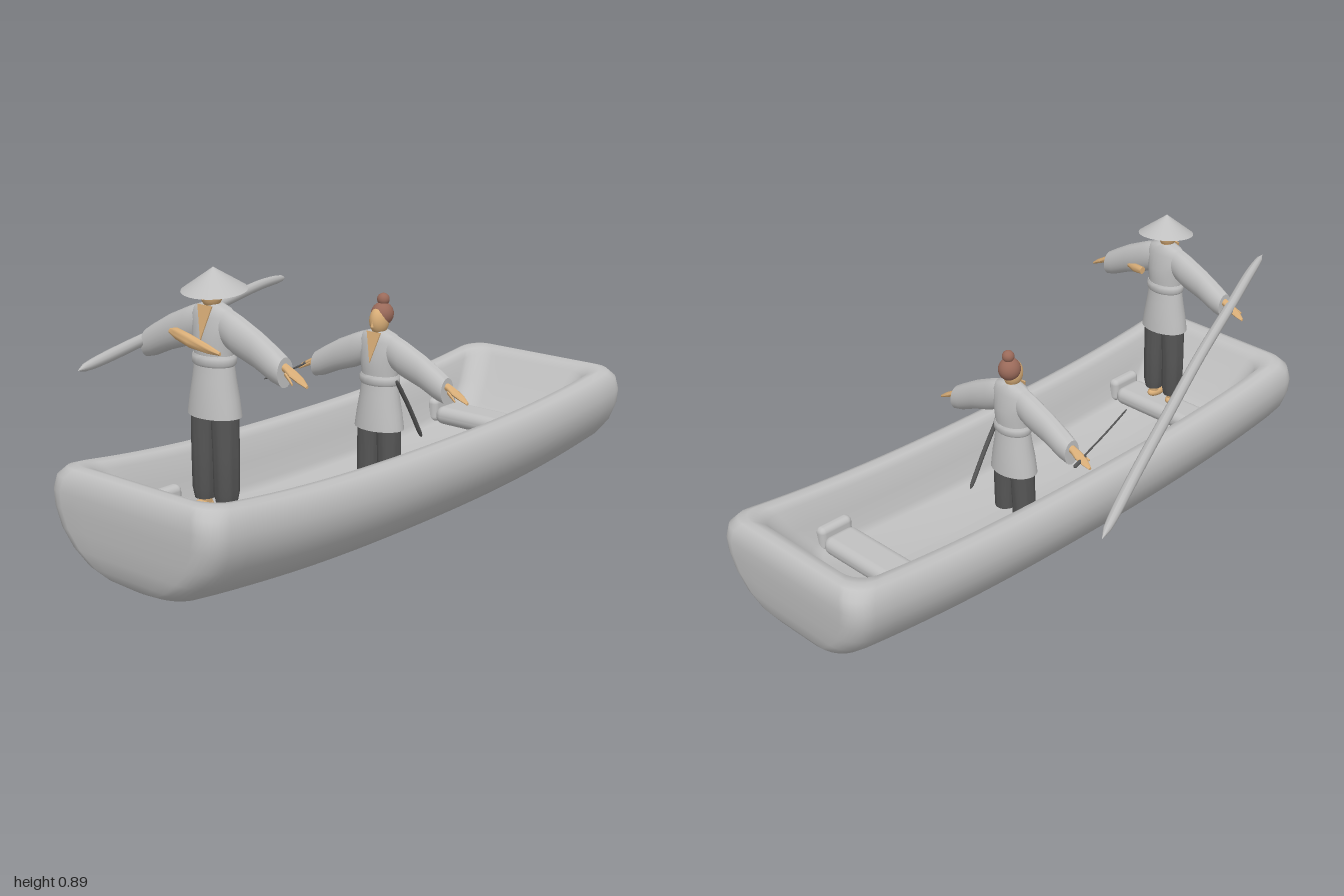
import * as THREE from 'three';
import { toCreasedNormals } from 'three/addons/utils/BufferGeometryUtils.js';
import { RoundedBoxGeometry } from 'three/addons/geometries/RoundedBoxGeometry.js';

const mat = (name, color) => new THREE.MeshStandardMaterial({ name, color });

// Skin a stack of closed rings that all have the same number of points
function skin(rings) {
  const n = rings[0].length, index = [];
  for (let i = 0; i < rings.length - 1; i++) {
    for (let j = 0; j < n; j++) {
      const a = i * n + j, c = i * n + (j + 1) % n;
      index.push(a, a + n, c, a + n, c + n, c);
    }
  }
  const g = new THREE.BufferGeometry();
  g.setAttribute('position', new THREE.Float32BufferAttribute(rings.flat(2), 3));
  g.setIndex(index);
  g.computeVertexNormals();
  return g;
}

// Capped loft of ellipses; each row is [t, radiusA, radiusB, centreA, centreB]
// axis 'y': A = x, B = z; axis 'x': A = z, B = y
function loft(rows, axis = 'y', sides = 24) {
  const first = rows[0], last = rows[rows.length - 1];
  const shut = ([t, , , a = 0, b = 0]) => [t, 0, 0, a, b];
  const rings = [shut(first), ...rows, shut(last)].map(([t, ra, rb, ca = 0, cb = 0]) =>
    Array.from({ length: sides }, (_, j) => {
      const q = (j / sides) * Math.PI * 2;
      const A = ca + ra * Math.cos(q), B = cb + rb * Math.sin(q);
      return axis === 'y' ? [A, t, B] : [t, B, A];
    }));
  return toCreasedNormals(skin(rings), 0.9);
}

// Rounded rectangle ring of the boat, raised towards bow and stern
function boatRing([hx, hz, y]) {
  const r = Math.min(0.07, hx), half = [];
  for (let i = 0; i < 24; i++) half.push([hx, (hz - r) * (i / 12 - 1)]);
  const corner = (cx, cz, start) => {
    for (let i = 0; i < 6; i++) {
      const q = start + (i / 6) * Math.PI / 2;
      half.push([cx + r * Math.cos(q), cz + r * Math.sin(q)]);
    }
  };
  corner(hx - r, hz - r, 0);
  for (let i = 0; i < 6; i++) half.push([(hx - r) * (1 - i / 3), hz]);
  corner(r - hx, hz - r, Math.PI / 2);
  const all = [...half, ...half.map(([x, z]) => [-x, -z])];
  return all.map(([x, z]) => [x, y + 0.06 * Math.abs(z / 0.97) ** 2.4, z]);
}

// Rod with tapered tips along a smooth path
function rod(points, radius) {
  const curve = new THREE.CatmullRomCurve3(points.map(p => new THREE.Vector3(...p)));
  const steps = 40, sides = 10;
  const g = new THREE.TubeGeometry(curve, steps, radius, sides);
  const p = g.attributes.position, v = new THREE.Vector3();
  for (let i = 0; i <= steps; i++) {
    const e = Math.abs((2 * i) / steps - 1), k = Math.sqrt(Math.max(0, 1 - e ** 10));
    const c = curve.getPointAt(i / steps);
    for (let j = 0; j <= sides; j++) {
      const id = i * (sides + 1) + j;
      v.fromBufferAttribute(p, id).sub(c).multiplyScalar(k).add(c);
      p.setXYZ(id, v.x, v.y, v.z);
    }
  }
  g.computeVertexNormals();
  return g;
}

export function createModel() {
  const model = new THREE.Group();
  model.name = 'boatWithTwoFigures';
  const grey = mat('light grey', 0xc0c0c0);
  const dark = mat('dark grey cloth', 0x565656);
  const tan = mat('skin', 0xd9ae78);
  const brown = mat('brown hair', 0x9a6a5a);

  const add = (parent, name, geometry, material, x = 0, y = 0, z = 0) => {
    const m = new THREE.Mesh(geometry, material);
    m.name = name;
    m.position.set(x, y, z);
    parent.add(m);
    return m;
  };
  const ball = (rx, ry, rz) => new THREE.SphereGeometry(1, 24, 16).scale(rx, ry, rz);

  // Boat: rings run from the keel up the outside, over the rim and down to the floor
  const boat = new THREE.Group();
  boat.name = 'boat';
  boat.position.set(0.232, 0, -0.0275);
  model.add(boat);
  add(boat, 'hull', skin([
    [0, 0.9, 0.005], [0.08, 0.92, 0.007], [0.15, 0.94, 0.02], [0.2, 0.957, 0.045],
    [0.25, 0.966, 0.085], [0.29, 0.97, 0.135], [0.312, 0.972, 0.19], [0.316, 0.972, 0.235],
    [0.308, 0.965, 0.275], [0.29, 0.945, 0.3], [0.27, 0.925, 0.308], [0.245, 0.9, 0.304],
    [0.23, 0.885, 0.285], [0.21, 0.83, 0.22], [0.195, 0.77, 0.155], [0.18, 0.74, 0.135],
    [0, 0.6, 0.13],
  ].map(boatRing)), grey);

  // Benches with end brackets
  for (const s of [-1, 1]) {
    add(boat, 'bench', new RoundedBoxGeometry(0.37, 0.06, 0.12, 4, 0.028), grey, 0, 0.18, s * 0.645);
    for (const e of [-1, 1]) {
      add(boat, 'benchBracket', new RoundedBoxGeometry(0.04, 0.08, 0.12, 3, 0.018), grey, e * 0.195, 0.195, s * 0.645);
    }
  }

  // Robed figure, feet at its origin
  const figure = (name, x, y, z) => {
    const f = new THREE.Group();
    f.name = name;
    f.position.set(x, y, z);
    model.add(f);
    for (const s of [-1, 1]) {
      const side = new THREE.Group();
      side.name = s > 0 ? 'leftLimbs' : 'rightLimbs';
      side.scale.x = s;
      f.add(side);
      add(side, 'foot', ball(0.021, 0.018, 0.042), tan, 0.04, 0.016, 0.015);
      add(side, 'ankle', loft([[0.01, 0.016, 0.018, 0.04], [0.06, 0.018, 0.02, 0.04]]), tan);
      add(side, 'trouserLeg', loft([
        [0.04, 0.028, 0.03, 0.04], [0.07, 0.034, 0.036, 0.04],
        [0.18, 0.035, 0.038, 0.04], [0.32, 0.036, 0.042, 0.036],
      ]), dark);
      add(side, 'sleeve', loft([
        [0.03, 0.028, 0.045, 0, 0.53], [0.06, 0.034, 0.052, 0, 0.52], [0.09, 0.035, 0.054, 0, 0.507],
        [0.16, 0.032, 0.05, 0, 0.48], [0.22, 0.033, 0.046, 0, 0.45], [0.252, 0.03, 0.04, 0, 0.436],
      ], 'x'), grey);
      add(side, 'hand', loft([
        [0.23, 0.013, 0.013, 0, 0.457], [0.26, 0.013, 0.011, 0, 0.446], [0.28, 0.017, 0.01, 0, 0.436],
        [0.305, 0.014, 0.008, 0, 0.424], [0.327, 0.005, 0.004, 0, 0.411],
      ], 'x', 12), tan);
      add(side, 'thumb', loft([
        [0.265, 0.006, 0.006, 0.012, 0.437], [0.3, 0.003, 0.003, 0.026, 0.418],
      ], 'x', 8), tan);
    }
    add(f, 'robeSkirt', loft([
      [0.28, 0.084, 0.06], [0.33, 0.076, 0.057], [0.38, 0.067, 0.05], [0.435, 0.06, 0.043],
    ]), grey);
    add(f, 'robeTop', loft([
      [0.42, 0.06, 0.043], [0.46, 0.062, 0.047], [0.5, 0.068, 0.047],
      [0.55, 0.078, 0.037], [0.572, 0.06, 0.031], [0.582, 0.028, 0.024],
    ]), grey);
    add(f, 'belt', loft([
      [0.418, 0.063, 0.047], [0.424, 0.067, 0.051], [0.442, 0.067, 0.051], [0.448, 0.063, 0.047],
    ]), grey);
    // Open collar
    const vee = new THREE.Shape();
    vee.moveTo(0, 0).lineTo(0.026, 0.092).lineTo(-0.026, 0.092);
    const collar = new THREE.ExtrudeGeometry(vee, { depth: 0.004, bevelEnabled: false });
    add(f, 'openCollar', collar, tan, 0, 0.49, 0.048).rotation.x = -0.2;
    add(f, 'neck', loft([[0.55, 0.02, 0.02], [0.6, 0.017, 0.019]]), tan);
    add(f, 'head', ball(0.028, 0.043, 0.034), tan, 0, 0.612, 0.006);
    add(f, 'nose', new THREE.ConeGeometry(0.005, 0.018, 8), tan, 0, 0.606, 0.04);
    add(f, 'hair', ball(0.034, 0.036, 0.036), brown, 0, 0.63, -0.008);
    return f;
  };

  // Boatman with cone hat and a bare forearm folded over the chest
  const boatman = figure('boatman', 0.243, 0.21, 0.617);
  const hat = new THREE.ConeGeometry(0.089, 0.062, 40);
  add(boatman, 'coneHat', hat, grey, 0.002, 0.648, 0).rotation.set(0.1, 0, -0.04);
  add(boatman, 'foldedForearm', loft([
    [-0.13, 0.008, 0.008, 0.032, 0.492], [-0.1, 0.014, 0.016, 0.038, 0.49],
    [-0.04, 0.014, 0.018, 0.048, 0.481], [0.03, 0.009, 0.012, 0.05, 0.47], [0.065, 0.004, 0.005, 0.044, 0.462],
  ], 'x', 14), tan);
  add(boatman, 'backForearm', loft([
    [0.06, 0.012, 0.012, -0.048, 0.48], [0.1, 0.013, 0.014, -0.04, 0.475], [0.14, 0.005, 0.006, -0.03, 0.47],
  ], 'x', 12), tan);

  // Passenger with hair bun, sword in the right hand and scabbard on the left hip
  const passenger = figure('passenger', 0.203, 0, -0.132);
  add(passenger, 'hairBun', ball(0.019, 0.019, 0.019), brown, 0, 0.674, -0.012);
  add(model, 'swordBlade', rod([[-0.085, 0.432, -0.12], [-0.045, 0.438, 0.02], [-0.005, 0.45, 0.16]], 0.003), dark);
  add(model, 'swordHilt', rod([[-0.1, 0.425, -0.175], [-0.085, 0.432, -0.11]], 0.006), dark);
  add(model, 'scabbard', rod([[0.275, 0.44, -0.12], [0.272, 0.34, -0.19], [0.268, 0.23, -0.26]], 0.007), dark);

  // Long punting pole
  add(model, 'pole', rod([
    [-0.572, 0.575, -0.56], [-0.46, 0.602, -0.32], [-0.31, 0.62, 0], [-0.16, 0.635, 0.32],
    [-0.02, 0.65, 0.64], [0.07, 0.658, 0.84], [0.135, 0.662, 0.995],
  ], 0.017), grey);

  return model;
}
